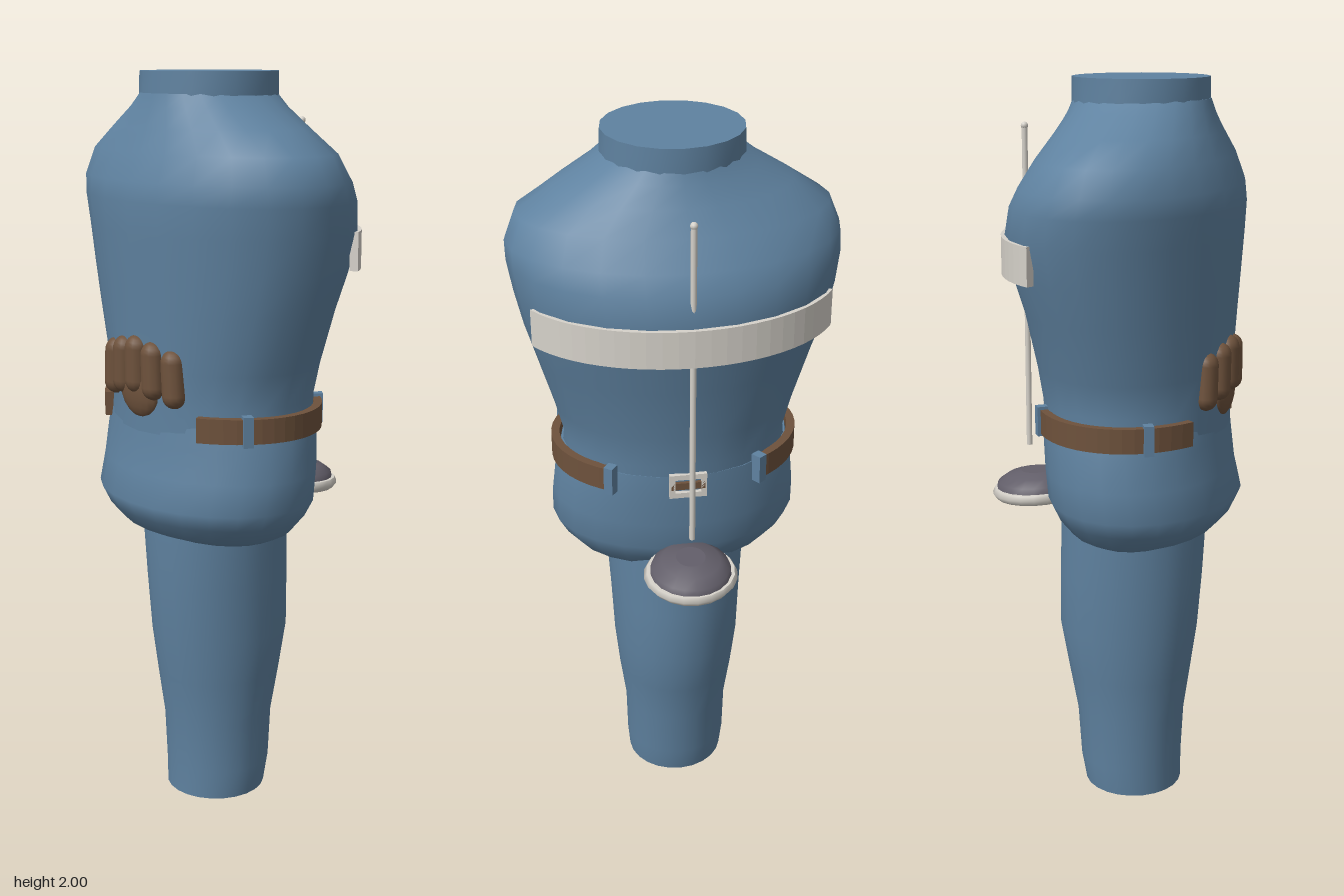
import * as THREE from 'three';

const mat = (name, color) => {
  const m = new THREE.MeshStandardMaterial({ color });
  m.name = name;
  return m;
};

// Closed tube through elliptical rings [y, rx, zFront, zBack], with flat caps
function loft(rings, sides = 24) {
  const pos = [], idx = [];
  const addRing = ([y, rx, zf, zb]) => {
    for (let i = 0; i <= sides; i++) {
      const a = (i / sides) * Math.PI * 2;
      pos.push(rx * Math.sin(a), y, (zf + zb) / 2 + ((zf - zb) / 2) * Math.cos(a));
    }
  };
  rings.forEach(addRing);
  const row = sides + 1;
  for (let r = 0; r < rings.length - 1; r++) {
    for (let i = 0; i < sides; i++) {
      const a = r * row + i, b = a + 1, c = a + row, d = c + 1;
      idx.push(a, b, d, a, d, c);
    }
  }
  for (const [ring, top] of [[rings[0], false], [rings[rings.length - 1], true]]) {
    const start = pos.length / 3;
    addRing(ring);
    pos.push(0, ring[0], (ring[2] + ring[3]) / 2);
    const centre = start + row;
    for (let i = 0; i < sides; i++) {
      if (top) idx.push(centre, start + i, start + i + 1);
      else idx.push(centre, start + i + 1, start + i);
    }
  }
  const g = new THREE.BufferGeometry();
  g.setAttribute('position', new THREE.Float32BufferAttribute(pos, 3));
  g.setIndex(idx);
  g.computeVertexNormals();
  // match normals along the seam of each ring
  const n = g.attributes.normal;
  for (let r = 0; r < rings.length; r++) {
    const a = r * row, b = a + sides;
    const v = new THREE.Vector3().fromBufferAttribute(n, a)
      .add(new THREE.Vector3().fromBufferAttribute(n, b)).normalize();
    n.setXYZ(a, v.x, v.y, v.z);
    n.setXYZ(b, v.x, v.y, v.z);
  }
  return g;
}

// Flat strap following an ellipse in plan; angles in degrees from +x towards +z
function strap(rx, rz, cz, thick, height, from, to, steps = 16) {
  const points = [];
  const add = (t, off) => {
    const a = THREE.MathUtils.degToRad(from + (to - from) * t);
    points.push(new THREE.Vector2((rx + off) * Math.cos(a), -(cz + (rz + off) * Math.sin(a))));
  };
  for (let i = 0; i <= steps; i++) add(i / steps, thick);
  for (let i = steps; i >= 0; i--) add(i / steps, -0.01);
  const g = new THREE.ExtrudeGeometry(new THREE.Shape(points), { depth: height, bevelEnabled: false });
  return g.rotateX(-Math.PI / 2);
}

export function createModel() {
  const group = new THREE.Group();
  const blue = mat('blue cloth', 0x5f82a0);
  const brown = mat('brown leather', 0x6e523c);
  const light = mat('pale grey', 0xd6d2ca);
  const dark = mat('dark grey', 0x625e69);
  const add = (name, geometry, material, x = 0, y = 0, z = 0) => {
    const m = new THREE.Mesh(geometry, material);
    m.name = name;
    m.position.set(x, y, z);
    group.add(m);
    return m;
  };

  // Body
  add('leg', loft([
    [0, 0.14, 0.2, -0.075], [0.08, 0.147, 0.2, -0.09], [0.22, 0.15, 0.207, -0.1],
    [0.35, 0.167, 0.225, -0.125], [0.48, 0.18, 0.243, -0.15],
    [0.64, 0.187, 0.255, -0.148], [0.78, 0.195, 0.262, -0.143], [0.88, 0.195, 0.262, -0.14],
  ]), blue);
  add('hips', loft([
    [0.765, 0.17, 0.19, -0.03], [0.775, 0.225, 0.235, -0.06], [0.8, 0.28, 0.293, -0.105],
    [0.845, 0.317, 0.332, -0.143], [0.89, 0.342, 0.353, -0.163],
    [0.97, 0.34, 0.333, -0.17], [1.06, 0.33, 0.322, -0.176], [1.13, 0.312, 0.315, -0.178],
  ]), blue);
  add('torso', loft([
    [1.05, 0.315, 0.32, -0.172], [1.16, 0.303, 0.32, -0.18], [1.25, 0.325, 0.323, -0.192],
    [1.4, 0.368, 0.331, -0.22], [1.5, 0.396, 0.337, -0.25], [1.6, 0.418, 0.343, -0.268],
    [1.68, 0.432, 0.346, -0.25], [1.73, 0.433, 0.34, -0.222], [1.8, 0.405, 0.312, -0.175],
    [1.86, 0.31, 0.287, -0.138], [1.91, 0.225, 0.268, -0.112], [1.945, 0.178, 0.258, -0.1],
  ]), blue);
  add('neck', loft([[1.93, 0.185, 0.257, -0.103], [2, 0.183, 0.255, -0.103]], 20), blue);

  // Belt sides and belt loops
  for (const s of [1, -1]) {
    const mid = s > 0 ? 0 : 180;
    add('beltSide', strap(0.325, 0.25, 0.072, 0.013, 0.065, mid - 54, mid + 54), brown, 0, 1.08, 0);
    for (const deg of [28, -53]) {
      const a = THREE.MathUtils.degToRad(deg);
      const loop = add('beltLoop', new THREE.BoxGeometry(0.03, 0.08, 0.026), blue,
        s * 0.332 * Math.cos(a), 1.113, 0.072 + 0.257 * Math.sin(a));
      loop.rotation.y = -s * a;
    }
  }

  // Back buckle: open frame over a short strip of belt
  const frame = new THREE.Shape([[-0.05, -0.035], [0.05, -0.035], [0.05, 0.035], [-0.05, 0.035]]
    .map(([x, y]) => new THREE.Vector2(x, y)));
  frame.holes.push(new THREE.Path([[-0.035, -0.02], [-0.035, 0.02], [0.035, 0.02], [0.035, -0.02]]
    .map(([x, y]) => new THREE.Vector2(x, y))));
  add('buckle', new THREE.ExtrudeGeometry(frame, { depth: 0.012, bevelEnabled: false }), light, 0, 1.105, -0.187);
  add('buckleStrip', new THREE.BoxGeometry(0.09, 0.02, 0.01), brown, 0, 1.105, -0.182);

  // Back band and upright rod
  add('backBand', strap(0.412, 0.303, 0.038, 0.013, 0.1, -155, -25, 24), light, 0, 1.505, 0);
  add('rod', new THREE.CylinderGeometry(0.008, 0.008, 0.89, 10), light, 0, 1.425, -0.25);
  add('rodTip', new THREE.SphereGeometry(0.01, 10, 6), light, 0, 1.866, -0.25);

  // Rear seat: pale dish under a dark cushion, tipped slightly back
  const seat = new THREE.Group();
  seat.name = 'seat';
  const dish = new THREE.Mesh(loft([
    [-0.025, 0.085, 0.085, -0.085], [-0.016, 0.115, 0.115, -0.115], [0, 0.128, 0.125, -0.125],
    [0.014, 0.12, 0.118, -0.118],
  ], 20), light);
  dish.name = 'seatDish';
  const cushion = new THREE.Mesh(loft([
    [0.008, 0.112, 0.114, -0.114], [0.03, 0.106, 0.108, -0.108], [0.048, 0.08, 0.085, -0.08],
    [0.058, 0.04, 0.045, -0.04],
  ], 20), dark);
  cushion.name = 'seatCushion';
  seat.add(dish, cushion);
  seat.position.set(0, 0.85, -0.23);
  seat.rotation.x = -0.06;
  group.add(seat);

  // Front hand: five fingers above a rounded palm
  const heights = [1.235, 1.25, 1.26, 1.25, 1.235];
  heights.forEach((y, i) => {
    const k = i - 2;
    const finger = add('finger', new THREE.CapsuleGeometry(0.034, 0.085, 6, 12), brown,
      k * 0.062, y, 0.322 - 0.006 * k * k);
    finger.scale.z = 0.9;
    finger.rotation.z = k * 0.03;
  });
  add('palm', new THREE.SphereGeometry(1, 16, 10), brown, 0, 1.19, 0.312).scale.set(0.078, 0.072, 0.026);

  return group;
}
